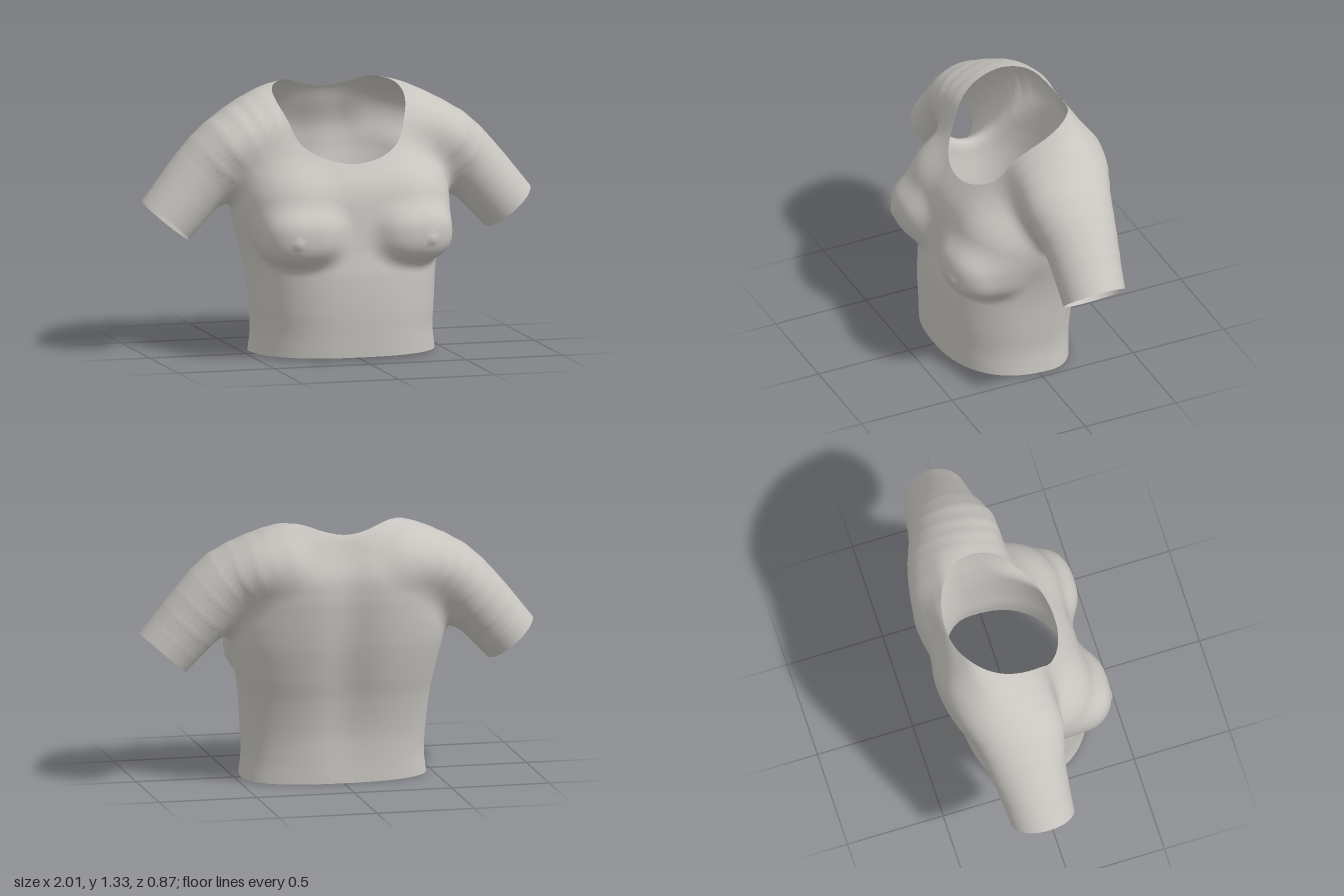
import * as THREE from 'three';

// torso profile rows: height, half width, front z, back z, spine groove depth
const TORSO = [
  [-0.1, 0.48, 0.36, -0.27, 0.0], [0.0, 0.47, 0.367, -0.272, 0.0],
  [0.12, 0.457, 0.374, -0.277, 0.01], [0.25, 0.464, 0.38, -0.288, 0.02],
  [0.42, 0.478, 0.375, -0.325, 0.03], [0.55, 0.502, 0.355, -0.365, 0.035],
  [0.7, 0.54, 0.342, -0.405, 0.035], [0.8, 0.55, 0.33, -0.425, 0.035],
  [0.88, 0.54, 0.302, -0.438, 0.035], [0.97, 0.52, 0.242, -0.449, 0.035],
  [1.08, 0.5, 0.155, -0.445, 0.035], [1.2, 0.46, 0.045, -0.392, 0.025],
  [1.27, 0.405, -0.02, -0.35, 0.012], [1.315, 0.33, -0.1, -0.312, 0.012],
  [1.355, 0.18, -0.18, -0.28, 0.01], [1.5, 0.05, -0.21, -0.24, 0.0],
];

// sleeve axis rows from collar to cuff: x, y, z, radius, depth stretch
const SLEEVE = [
  [0.3, 1.14, -0.16, 0.13, 1.75], [0.42, 1.11, -0.145, 0.145, 1.62],
  [0.56, 1.03, -0.115, 0.163, 1.38], [0.69, 0.9, -0.117, 0.165, 1.16],
  [0.89, 0.675, -0.102, 0.151, 1.07], [1.088, 0.45, -0.098, 0.142, 1.06],
];

// smooth interpolation of column k in rows keyed by their first number
function profile(rows, key, k) {
  const last = rows.length - 1;
  if (key <= rows[0][0]) return rows[0][k];
  if (key >= rows[last][0]) return rows[last][k];
  let i = 0;
  while (rows[i + 1][0] < key) i++;
  const slope = (j) => {
    const a = rows[Math.max(0, j - 1)], b = rows[Math.min(last, j + 1)];
    return (b[k] - a[k]) / (b[0] - a[0]);
  };
  const a = rows[i], b = rows[i + 1], h = b[0] - a[0], t = (key - a[0]) / h;
  const t2 = t * t, t3 = t2 * t;
  return (2 * t3 - 3 * t2 + 1) * a[k] + (t3 - 2 * t2 + t) * h * slope(i)
    + (3 * t2 - 2 * t3) * b[k] + (t3 - t2) * h * slope(i + 1);
}

// rounded union of two distances
function blend(a, b, k) {
  const h = Math.max(k - Math.abs(a - b), 0) / k;
  return Math.min(a, b) - h * h * k / 4;
}

// the widest line lies towards the back at the waist
function torso(x, y, z) {
  const w = profile(TORSO, y, 1), front = profile(TORSO, y, 2);
  const back = profile(TORSO, y, 3) + profile(TORSO, y, 4) * Math.exp(-((x / 0.13) ** 2));
  const c = THREE.MathUtils.lerp(back, front, 0.36 + 0.14 * THREE.MathUtils.smoothstep(y, 0.4, 1));
  const d = z > c ? front - c : c - back, n = 2.4;
  const q = (Math.abs(x / w) ** n + Math.abs((z - c) / d) ** n) ** (1 / n);
  return (q - 1) * Math.min(w, (front - back) / 2);
}

// sleeve path sampled into short tapered tubes
const PATH = Array.from({ length: 13 }, (_, i) => {
  const x = 0.3 + (0.788 * i) / 12;
  return [x, ...[1, 2, 3, 4].map((k) => profile(SLEEVE, x, k))];
});

function sleeve(x, y, z) {
  let f = Infinity;
  for (let i = 0; i + 1 < PATH.length; i++) {
    const a = PATH[i], b = PATH[i + 1], dx = b[0] - a[0], dy = b[1] - a[1];
    const t = THREE.MathUtils.clamp(((x - a[0]) * dx + (y - a[1]) * dy) / (dx * dx + dy * dy), 0, 1);
    const mix = (k) => a[k] + (b[k] - a[k]) * t;
    f = Math.min(f, Math.hypot(x - mix(0), y - mix(1), (z - mix(2)) / mix(4)) - mix(3));
  }
  return f;
}

function ellipsoid(x, y, z, c, r, n) {
  const q = Math.abs((x - c[0]) / r[0]) ** n + Math.abs((y - c[1]) / r[1]) ** n + Math.abs((z - c[2]) / r[2]) ** n;
  return (q ** (1 / n) - 1) * Math.min(...r);
}

// whole garment as one signed field, mirrored in x
function field(sx, y, z) {
  const x = Math.abs(sx);
  let f = torso(x, y, z);
  f = blend(f, ellipsoid(x, y, z, [0.27, 0.73, 0.15], [0.225, 0.22, 0.2], 2), 0.07); // upper chest
  f = blend(f, ellipsoid(x, y, z, [0.278, 0.625, 0.232], [0.215, 0.16, 0.2], 2.4), 0.05); // bust
  f = blend(f, ellipsoid(x, y, z, [0.345, 0.605, 0.405], [0.026, 0.026, 0.026], 2), 0.02);
  return blend(f, sleeve(x, y, z), 0.09);
}

function gradient(p) {
  const e = 0.004, [x, y, z] = p;
  return [
    (field(x + e, y, z) - field(x - e, y, z)) / (2 * e),
    (field(x, y + e, z) - field(x, y - e, z)) / (2 * e),
    (field(x, y, z + e) - field(x, y, z - e)) / (2 * e),
  ];
}

// openings: a point is kept where every value is positive
const OPENINGS = [
  ([, y, z]) => y - 0.022 * (z + 0.272), // hem
  ([x, y]) => (Math.abs(x) < 0.62 ? 1 : (0.89 - Math.abs(x)) * 0.66 + (y - 0.675) * 0.75), // cuffs
  ([x, y, z]) => (y < 0.9 ? 1 // neckline
    : Math.abs(x / 0.335) ** 2.1 + Math.abs((z + 0.06) / (z > -0.06 ? 0.3 : 0.27)) ** 2.1 - 1),
];

function clip(poly, keep) {
  const out = [];
  poly.forEach((a, i) => {
    const b = poly[(i + 1) % poly.length], ga = keep(a), gb = keep(b);
    if (ga >= 0) out.push(a);
    if ((ga >= 0) !== (gb >= 0)) out.push(a.map((v, k) => v + (b[k] - v) * ga / (ga - gb)));
  });
  return out;
}

// wraps a quad skin around the field, then cuts the openings
function skinGeometry() {
  const s = 0.02, N = [109, 76, 54], O = [-1.08, -0.05, -0.53];
  const stride = [1, N[0], N[0] * N[1]];
  const at = (i, j, k) => [O[0] + i * s, O[1] + j * s, O[2] + k * s];
  const values = new Float32Array(N[0] * N[1] * N[2]);
  const eachCell = (fn, trim) => {
    for (let k = 0; k < N[2] - trim; k++)
      for (let j = 0; j < N[1] - trim; j++)
        for (let i = 0; i < N[0] - trim; i++) fn(i, j, k, i + j * stride[1] + k * stride[2]);
  };
  eachCell((i, j, k, id) => { values[id] = field(...at(i, j, k)); }, 0);

  // one point per crossed cell, pulled onto the surface
  const points = new Map();
  eachCell((i, j, k, id) => {
    const sum = [0, 0, 0];
    let count = 0;
    for (let c = 0; c < 8; c++) for (let a = 0; a < 3; a++) {
      if (c & (1 << a)) continue;
      const o = [c & 1, (c >> 1) & 1, (c >> 2) & 1];
      const ia = id + o[0] + o[1] * stride[1] + o[2] * stride[2];
      const va = values[ia], vb = values[ia + stride[a]];
      if ((va < 0) === (vb < 0)) continue;
      o[a] += va / (va - vb);
      o.forEach((v, n) => { sum[n] += v; });
      count++;
    }
    if (!count) return;
    let p = at(i + sum[0] / count, j + sum[1] / count, k + sum[2] / count);
    for (let n = 0; n < 2; n++) {
      const g = gradient(p), l = Math.max(0.2, g[0] ** 2 + g[1] ** 2 + g[2] ** 2);
      const step = THREE.MathUtils.clamp(field(...p) / l, -s / 2, s / 2);
      p = p.map((v, m) => v - g[m] * step);
    }
    points.set(id, p);
  }, 1);

  const position = [], normal = [];
  const emit = (p) => {
    const g = gradient(p), l = Math.hypot(...g) || 1;
    position.push(...p);
    normal.push(g[0] / l, g[1] / l, g[2] / l);
  };
  const addTriangle = (tri) => {
    const poly = OPENINGS.reduce((p, keep) => (p.length ? clip(p, keep) : p), tri);
    for (let n = 1; n + 1 < poly.length; n++) [poly[0], poly[n], poly[n + 1]].forEach(emit);
  };
  eachCell((i, j, k, id) => {
    for (let a = 0; a < 3; a++) {
      const inside = values[id] < 0;
      if (inside === (values[id + stride[a]] < 0)) continue;
      const b = stride[(a + 1) % 3], c = stride[(a + 2) % 3];
      const quad = [id - b - c, id - c, id, id - b].map((n) => points.get(n));
      if (quad.some((p) => !p)) continue;
      if (!inside) quad.reverse();
      addTriangle([quad[0], quad[1], quad[2]]);
      addTriangle([quad[0], quad[2], quad[3]]);
    }
  }, 1);

  const geometry = new THREE.BufferGeometry();
  geometry.setAttribute('position', new THREE.Float32BufferAttribute(position, 3));
  geometry.setAttribute('normal', new THREE.Float32BufferAttribute(normal, 3));
  return geometry;
}

export function createModel() {
  const fabric = new THREE.MeshStandardMaterial({ color: 0xc8c5c0, side: THREE.DoubleSide });
  fabric.name = 'warm grey fabric';
  const shirt = new THREE.Mesh(skinGeometry(), fabric);
  shirt.name = 'shortSleevedTop';
  const model = new THREE.Group();
  model.name = 'top';
  model.add(shirt);
  return model;
}
